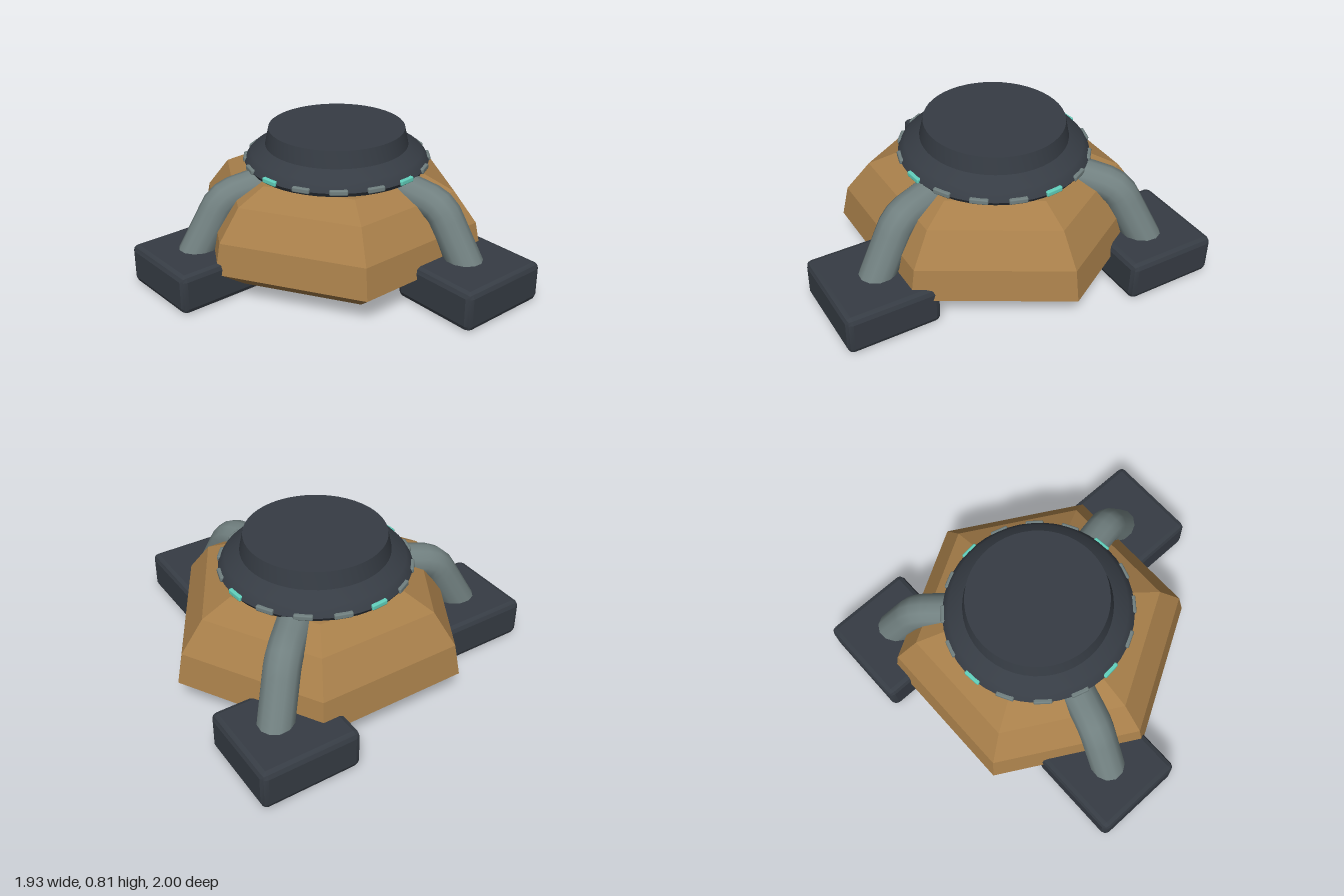
import * as THREE from 'three';
import { toCreasedNormals } from 'three/addons/utils/BufferGeometryUtils.js';
import { RoundedBoxGeometry } from 'three/addons/geometries/RoundedBoxGeometry.js';

const material = (name, color, flatShading = false) => {
  const m = new THREE.MeshStandardMaterial({ color, flatShading });
  m.name = name;
  return m;
};

const profile = (pairs) => pairs.map(([r, y]) => new THREE.Vector2(r, y));

export function createModel() {
  const model = new THREE.Group();
  model.name = 'hexPod';
  const tan = material('tan hull', 0xa87f4a, true);
  const dark = material('dark metal', 0x363c44);
  const grey = material('grey metal', 0x718080);
  const teal = material('teal light', 0x62d2be);
  dark.side = THREE.FrontSide;

  const add = (parent, name, geometry, mat) => {
    const mesh = new THREE.Mesh(geometry, mat);
    mesh.name = name;
    parent.add(mesh);
    return mesh;
  };

  // Everything but the feet is arranged round the hull axis
  const body = new THREE.Group();
  body.name = 'body';
  body.position.set(0.11, 0, -0.117);
  model.add(body);

  // Six-sided hull with a corner on each side
  add(body, 'hull', new THREE.LatheGeometry(profile([
    [0, 0.06], [0.71, 0.06], [0.855, 0.16], [0.82, 0.335],
    [0.69, 0.505], [0.52, 0.583], [0, 0.61],
  ]), 6, Math.PI / 2), tan);

  // Round turret on top
  add(body, 'turret', toCreasedNormals(new THREE.LatheGeometry(profile([
    [0, 0.575], [0.46, 0.58], [0.505, 0.595], [0.522, 0.62], [0.508, 0.645],
    [0.485, 0.67], [0.405, 0.71], [0.385, 0.805], [0, 0.805],
  ]), 48), 0.6), dark);

  // Ring of lamps, every fourth one lit
  const lampGeometry = new RoundedBoxGeometry(0.1, 0.03, 0.03, 1, 0.008);
  for (let i = 0; i < 16; i++) {
    const a = (i + 0.25) * Math.PI / 8;
    const lit = i % 4 === 0;
    const lamp = add(body, lit ? 'litLamp' : 'lamp', lampGeometry, lit ? teal : grey);
    lamp.position.set(0.514 * Math.sin(a), 0.624, 0.514 * Math.cos(a));
    lamp.rotation.y = a;
  }

  // Bent leg: two straight lengths joined by a short elbow
  const point = (r, y) => new THREE.Vector3(0, y, r);
  const path = new THREE.CurvePath();
  path.add(new THREE.LineCurve3(point(0.38, 0.55), point(0.62, 0.505)));
  path.add(new THREE.QuadraticBezierCurve3(point(0.62, 0.505), point(0.69, 0.487), point(0.72, 0.43)));
  path.add(new THREE.LineCurve3(point(0.72, 0.43), point(0.88, 0.15)));
  const legGeometry = new THREE.TubeGeometry(path, 14, 0.097, 12);

  // Square-set feet, one below each leg
  const footGeometry = toCreasedNormals(new RoundedBoxGeometry(0.556, 0.225, 0.525, 1, 0.032), 0.3);
  const feet = [[0.317, 0.737], [-0.692, -0.348], [0.685, -0.737]];
  feet.forEach(([x, z], i) => {
    const leg = add(body, 'leg' + (i + 1), legGeometry, grey);
    leg.rotation.y = THREE.MathUtils.degToRad(14 - 120 * i);
    add(model, 'foot' + (i + 1), footGeometry, dark).position.set(x, 0.1125, z);
  });

  return model;
}
